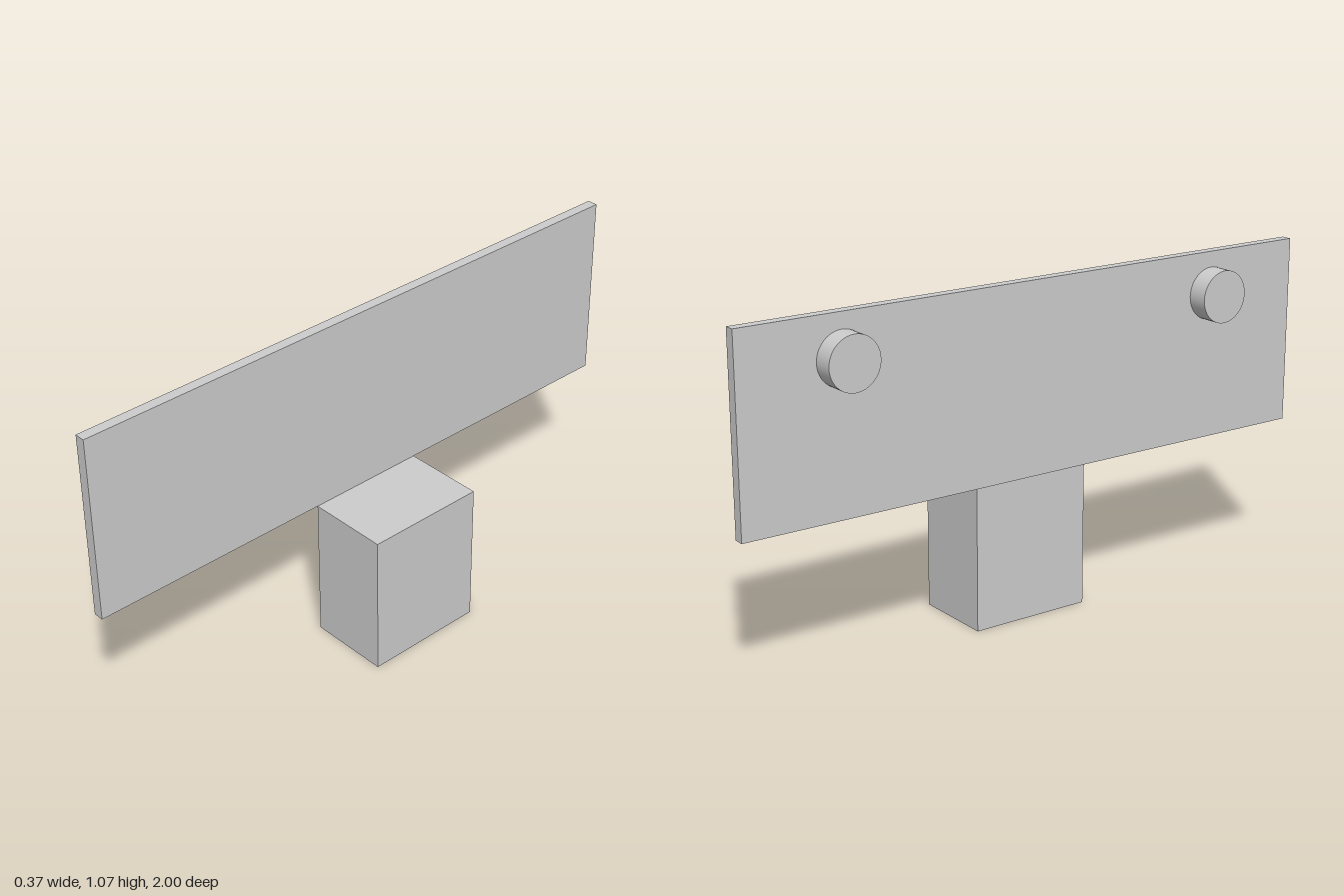
import * as THREE from 'three';

export function createModel() {
  const model = new THREE.Group();
  const lightGrey = new THREE.MeshStandardMaterial({ color: 0xcccccc });
  lightGrey.name = 'lightGrey';

  const add = (name, geometry, x, y, z) => {
    const mesh = new THREE.Mesh(geometry, lightGrey);
    mesh.name = name;
    mesh.position.set(x, y, z);
    model.add(mesh);
    return mesh;
  };

  // Standing block, touching the panel along its lower edge
  add('baseBlock', new THREE.BoxGeometry(0.266, 0.468, 0.4), 0.049, 0.234, 0);

  // Long upright panel
  add('panel', new THREE.BoxGeometry(0.034, 0.6, 2), -0.101, 0.768, 0);

  // Pair of round knobs on the panel's right face
  for (const side of [1, -1]) {
    const knob = new THREE.CylinderGeometry(0.083, 0.083, 0.066, 48).rotateZ(Math.PI / 2);
    add(side > 0 ? 'frontKnob' : 'backKnob', knob, -0.151, 0.935, side * 0.667);
  }

  return model;
}
